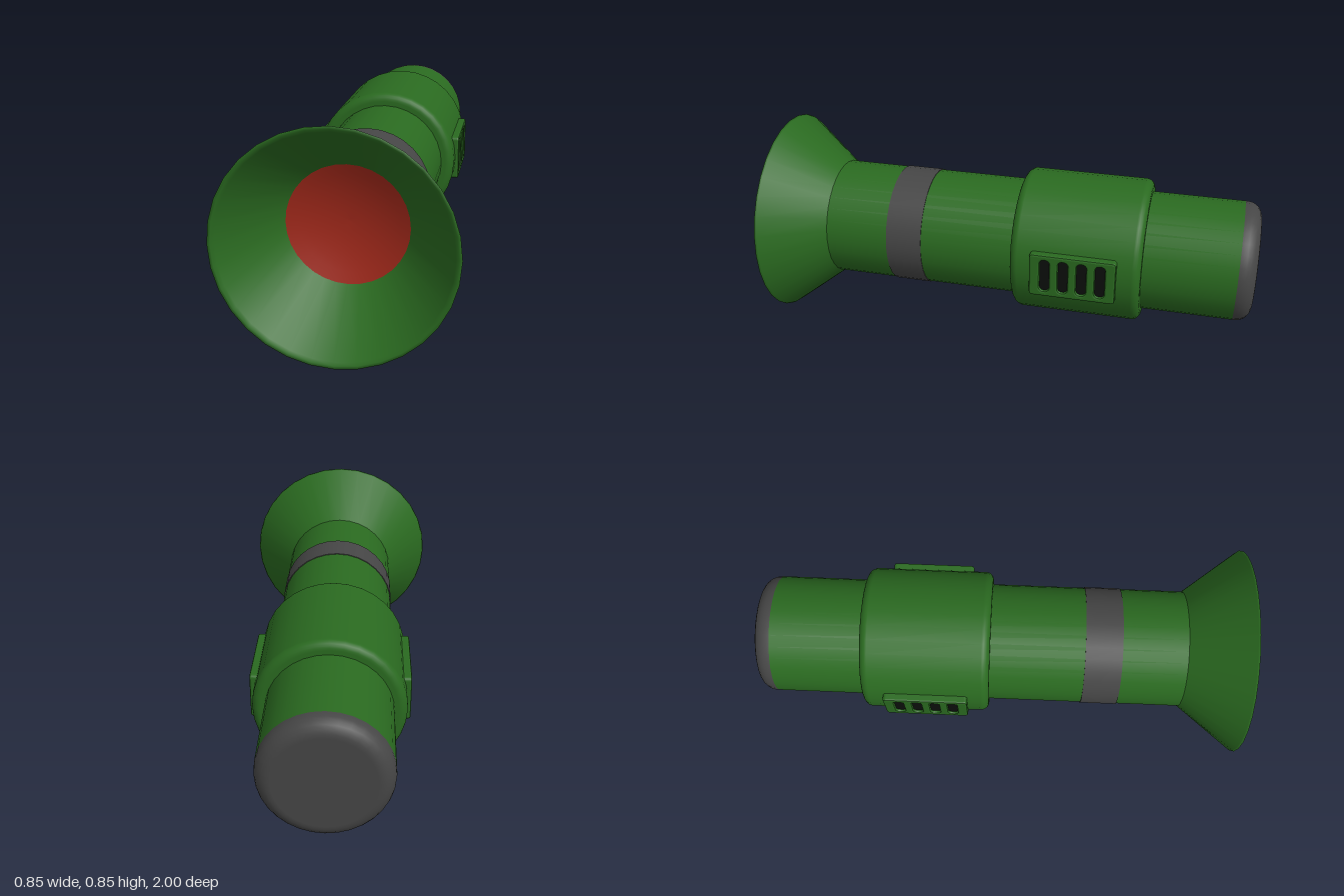
import * as THREE from 'three';

const AXIS_Y = 0.43;
const SIDES = 32;

const paint = (color) => new THREE.MeshStandardMaterial({ color, side: THREE.DoubleSide });
const green = paint(0x2a6a20);
const grey = paint(0x464646);
const red = paint(0x9c2719);
const black = paint(0x0c0f0c);

// Lathe about the z axis; each profile run [[radius, z], ...] is smooth, runs meet at sharp edges
function turned(name, material, ...runs) {
  const group = new THREE.Group();
  group.name = name;
  for (const run of runs) {
    const points = run.map(([r, z]) => new THREE.Vector2(r, z));
    const mesh = new THREE.Mesh(new THREE.LatheGeometry(points, SIDES), material);
    mesh.name = name + 'Surface';
    mesh.rotation.x = Math.PI / 2;
    group.add(mesh);
  }
  group.position.y = AXIS_Y;
  return group;
}

// Quarter-round profile points around (r, z)
function arc(r, z, radius, from, to, steps = 6) {
  return Array.from({ length: steps + 1 }, (_, i) => {
    const a = from + ((to - from) * i) / steps;
    return [r + radius * Math.cos(a), z + radius * Math.sin(a)];
  });
}

// Upright rounded slot outline, also used for the plate
function roundedRect(target, cx, w, h, r) {
  const x = w / 2 - r, y = h / 2 - r;
  target.absarc(cx + x, y, r, 0, Math.PI / 2);
  target.absarc(cx - x, y, r, Math.PI / 2, Math.PI);
  target.absarc(cx - x, -y, r, Math.PI, Math.PI * 1.5);
  target.absarc(cx + x, -y, r, Math.PI * 1.5, Math.PI * 2);
  target.closePath();
  return target;
}

// Slotted vent plate, built facing +z
function vent(name) {
  const group = new THREE.Group();
  group.name = name;
  const plate = roundedRect(new THREE.Shape(), 0, 0.33, 0.17, 0.006);
  for (let i = 0; i < 4; i++) {
    const x = (i - 1.5) * 0.074;
    plate.holes.push(roundedRect(new THREE.Path(), x, 0.056, 0.156, 0.026));
    const slot = new THREE.Mesh(
      new THREE.ShapeGeometry(roundedRect(new THREE.Shape(), x, 0.056, 0.156, 0.026), 6), black);
    slot.name = 'ventSlot';
    slot.position.z = 0.298;
    group.add(slot);
  }
  const frame = new THREE.Mesh(new THREE.ExtrudeGeometry(plate, {
    depth: 0.05, bevelEnabled: true, bevelSize: 0.008, bevelThickness: 0.008, bevelSegments: 2, curveSegments: 6,
  }), green);
  frame.name = 'ventPlate';
  frame.position.z = 0.252;
  group.add(frame);
  group.position.set(0, AXIS_Y, -0.295);
  return group;
}

export function createModel() {
  const model = new THREE.Group();
  model.name = 'flashlight';
  const H = Math.PI / 2;

  // Barrel and flared head with a soft lip
  model.add(turned('barrel', green, [[0.244, -0.93], [0.244, 0.765]]));
  model.add(turned('flaredHead', green,
    [[0.244, 0.765], [0.422, 0.993]],
    [[0.422, 0.993], [0.427, 1], [0.416, 1], [0.405, 0.99], [0.225, 0.75]]));

  // Shallow concave lens
  model.add(turned('lens', red,
    Array.from({ length: 7 }, (_, i) => [0.226 * (1 - i / 6), 0.75 - 0.05 * (1 - (1 - i / 6) ** 2)])));

  // Grey band around the barrel
  model.add(turned('band', grey, [[0.243, 0.35], [0.247, 0.35]], [[0.247, 0.35], [0.247, 0.5]], [[0.247, 0.5], [0.243, 0.5]]));

  // Rounded grip sleeve
  model.add(turned('sleeve', green,
    [[0.24, -0.56], ...arc(0.262, -0.527, 0.033, -H, 0), ...arc(0.262, -0.068, 0.033, 0, H), [0.24, -0.035]]));

  // Rounded end cap
  model.add(turned('endCap', grey,
    [[0, -1], ...arc(0.184, -0.94, 0.06, -H, 0), [0.244, -0.93]]));

  // Vents on both sides
  for (const side of [1, -1]) {
    const v = vent(side > 0 ? 'leftVent' : 'rightVent');
    v.rotation.y = side * H;
    model.add(v);
  }
  return model;
}
